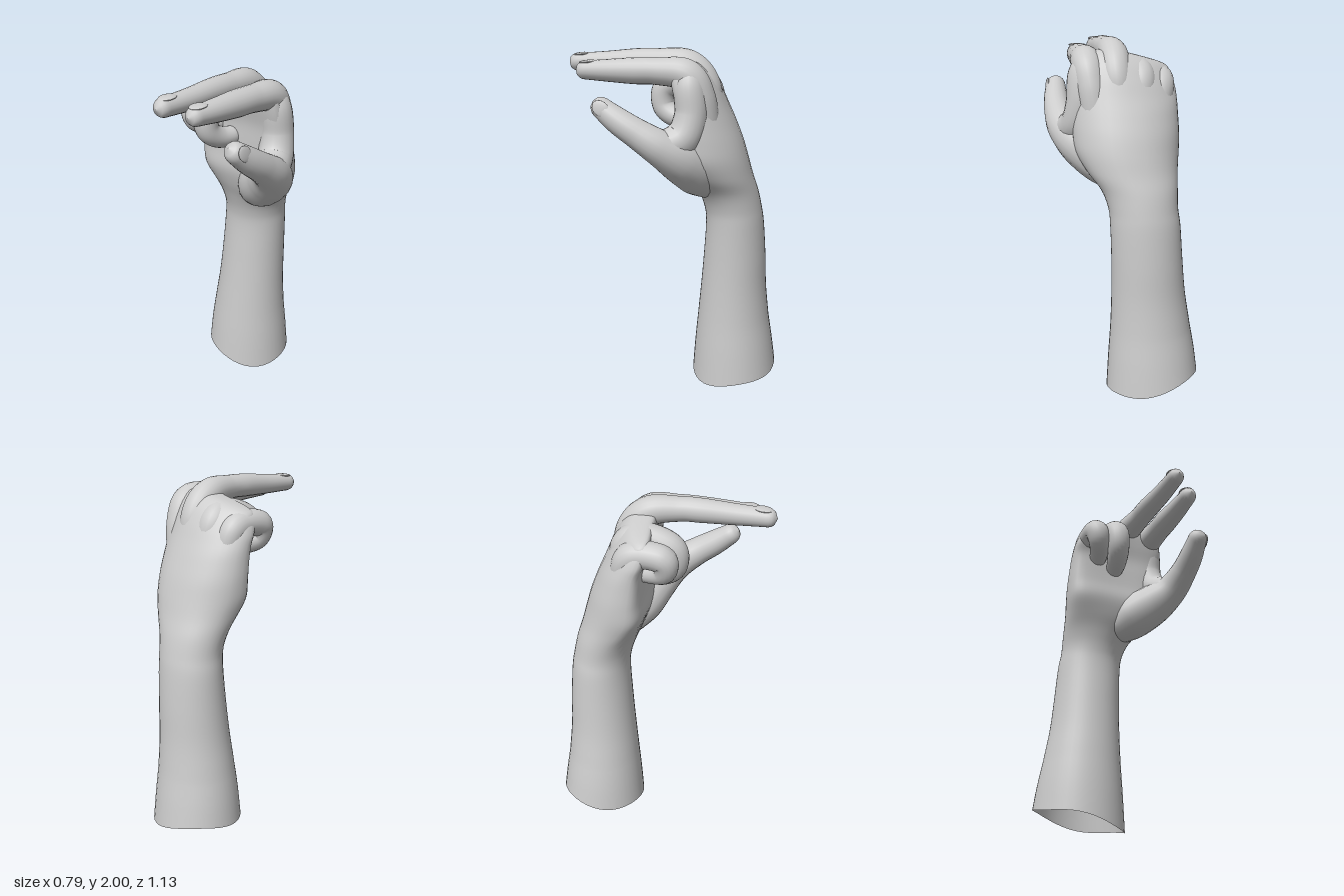
import * as THREE from 'three';

const skin = new THREE.MeshStandardMaterial({ color: 0xcccccc, side: THREE.DoubleSide });
const V = (x, y, z) => new THREE.Vector3(x, y, z);
const H = Math.SQRT1_2;
const FINGER_DIR = V(-H, 0, H); // the way the straight fingers point
const KNUCKLE_DIR = V(H, 0, H); // across the knuckles, towards the thumb

// Skin over a stack of closed rings with shared vertices, so it shades smoothly
function loft(rings) {
  const n = rings[0].length;
  const index = [];
  for (let i = 0; i < rings.length - 1; i++) {
    for (let j = 0; j < n; j++) {
      const k = (j + 1) % n;
      const a = i * n + j, b = i * n + k, c = a + n, d = b + n;
      index.push(a, b, c, b, d, c);
    }
  }
  const g = new THREE.BufferGeometry().setFromPoints(rings.flat());
  g.setIndex(index);
  g.computeVertexNormals();
  return g;
}

function addMesh(group, name, geometry) {
  const mesh = new THREE.Mesh(geometry, skin);
  mesh.name = name;
  group.add(mesh);
  return mesh;
}

// Smooth interpolation through a list of rows of numbers
function sampleRows(rows, t) {
  const f = t * (rows.length - 1);
  const i = Math.min(Math.floor(f), rows.length - 2), w = f - i;
  const at = (k) => rows[Math.max(0, Math.min(rows.length - 1, k))];
  return rows[0].map((_, c) => {
    const p0 = at(i - 1)[c], p1 = at(i)[c], p2 = at(i + 1)[c], p3 = at(i + 2)[c];
    return p1 + 0.5 * w * (p2 - p0 + w * (2 * p0 - 5 * p1 + 4 * p2 - p3 + w * (3 * (p1 - p2) + p3 - p0)));
  });
}

// Forearm, wrist and palm: y, centre x, centre z, radius across the knuckles, radius through the palm
function armGeometry() {
  const rows = [
    [0.0, 0.127, -0.307, 0.265, 0.255],
    [0.2, 0.127, -0.302, 0.25, 0.238],
    [0.4, 0.129, -0.295, 0.23, 0.217],
    [0.6, 0.138, -0.286, 0.21, 0.197],
    [0.8, 0.148, -0.282, 0.2, 0.184],
    [1.0, 0.155, -0.274, 0.195, 0.17],
    [1.1, 0.154, -0.258, 0.193, 0.167],
    [1.2, 0.146, -0.228, 0.212, 0.172],
    [1.3, 0.143, -0.18, 0.255, 0.178],
    [1.4, 0.138, -0.148, 0.29, 0.178],
    [1.5, 0.132, -0.136, 0.298, 0.16],
    [1.6, 0.12, -0.12, 0.298, 0.14],
    [1.7, 0.105, -0.103, 0.297, 0.12],
    [1.8, 0.083, -0.081, 0.292, 0.11],
    [1.88, 0.063, -0.06, 0.272, 0.094],
    [1.93, 0.048, -0.042, 0.23, 0.06],
    [1.94, 0.045, -0.04, 0.001, 0.001],
  ];
  const rings = [];
  const steps = 80, sides = 40;
  for (let i = 0; i <= steps; i++) {
    const [y, cx, cz, ru, rd] = sampleRows(rows, i / steps);
    const rim = Math.max(0, 1 - y / 0.4); // uneven cut at the elbow end
    const hand = THREE.MathUtils.smoothstep(y, 1.12, 1.4);
    const drop = THREE.MathUtils.smoothstep(y, 1.6, 1.9); // knuckles fall towards the little finger
    const e = 1 - 0.16 * hand;
    const ring = [];
    for (let j = 0; j < sides; j++) {
      const a = (-j / sides) * Math.PI * 2;
      const c = Math.cos(a), s = Math.sin(a);
      const u = ru * Math.sign(c) * Math.abs(c) ** e;
      const arch = 0.75 * hand * u * u; // the palm cups forward at both edges
      const d = arch - rd * Math.sign(s) * Math.abs(s) ** e;
      const p = V(cx, y, cz).addScaledVector(KNUCKLE_DIR, u).addScaledVector(FINGER_DIR, d);
      const t = (p.z + 0.305) / 0.25;
      p.y += rim * (0.065 - 0.015 * t - 0.045 * t ** 3 - 0.06 * (p.x - 0.125));
      p.y += drop * Math.min(0, u - 0.05) * 0.25;
      ring.push(p);
    }
    rings.push(ring);
  }
  return loft(rings);
}

// Finger: tube through rows of x, y, z, radius with rounded ends
function fingerGeometry(rows) {
  const curve = new THREE.CatmullRomCurve3(rows.map((r) => V(r[0], r[1], r[2])), false, 'catmullrom', 0.5);
  const steps = 72, sides = 20;
  const frames = curve.computeFrenetFrames(steps, false);
  const length = curve.getLength();
  const rings = [];
  for (let i = 0; i <= steps; i++) {
    const s = i / steps;
    const centre = curve.getPointAt(s);
    const r = sampleRows(rows, curve.getUtoTmapping(s))[3];
    const edge = Math.min(1, (Math.min(s, 1 - s) * length) / r);
    const radius = r * Math.sqrt(1 - (1 - edge) ** 2) + 0.0005;
    const ring = [];
    for (let j = 0; j < sides; j++) {
      const a = (j / sides) * Math.PI * 2;
      ring.push(centre.clone()
        .addScaledVector(frames.normals[i], Math.cos(a) * radius)
        .addScaledVector(frames.binormals[i], Math.sin(a) * radius));
    }
    rings.push(ring);
  }
  return loft(rings);
}

// Fingernail: thin rounded plate lying along dir with its face towards up
function addNail(group, name, position, dir, up, width, length) {
  const nail = addMesh(group, name, new THREE.SphereGeometry(1, 20, 12));
  const z = dir.clone().normalize();
  const x = new THREE.Vector3().crossVectors(up, z).normalize();
  const y = new THREE.Vector3().crossVectors(z, x);
  nail.quaternion.setFromRotationMatrix(new THREE.Matrix4().makeBasis(x, y, z));
  nail.position.copy(position);
  nail.scale.set(width, 0.01, length);
}

export function createModel() {
  const group = new THREE.Group();
  group.name = 'handAndForearm';
  addMesh(group, 'forearmAndPalm', armGeometry());

  // Each path begins inside the back of the hand and passes over its knuckle
  const fingers = {
    indexFinger: [
      [0.235, 1.55, -0.01, 0.08], [0.232, 1.75, 0.035, 0.085], [0.195, 1.865, 0.095, 0.085],
      [0.09, 1.885, 0.21, 0.072], [0.0, 1.885, 0.3, 0.07], [-0.1, 1.885, 0.405, 0.06], [-0.235, 1.885, 0.535, 0.047],
    ],
    middleFinger: [
      [0.15, 1.6, -0.1, 0.07], [0.14, 1.8, -0.068, 0.082], [0.075, 1.912, 0.005, 0.08],
      [-0.03, 1.933, 0.135, 0.066], [-0.11, 1.933, 0.22, 0.064], [-0.23, 1.925, 0.35, 0.056], [-0.385, 1.92, 0.505, 0.047],
    ],
    ringFinger: [
      [0.07, 1.58, -0.18, 0.07], [0.035, 1.775, -0.155, 0.082], [-0.03, 1.825, -0.08, 0.077],
      [-0.135, 1.775, 0.02, 0.074], [-0.14, 1.67, 0.035, 0.066], [-0.07, 1.61, -0.005, 0.06], [0.04, 1.61, -0.07, 0.05],
    ],
    littleFinger: [
      [-0.02, 1.55, -0.235, 0.06], [-0.065, 1.735, -0.215, 0.076], [-0.125, 1.78, -0.165, 0.073],
      [-0.208, 1.765, -0.085, 0.072], [-0.2, 1.69, -0.07, 0.062], [-0.12, 1.66, -0.105, 0.055], [-0.03, 1.66, -0.16, 0.05],
    ],
    thumb: [
      [0.12, 1.2, -0.17, 0.08], [0.165, 1.325, -0.01, 0.135], [0.2, 1.42, 0.14, 0.127], [0.19, 1.495, 0.265, 0.098],
      [0.13, 1.57, 0.365, 0.08], [0.055, 1.64, 0.445, 0.07], [-0.045, 1.735, 0.53, 0.052],
    ],
  };
  for (const [name, rows] of Object.entries(fingers)) addMesh(group, name, fingerGeometry(rows));

  // Web of flesh between thumb and index finger
  addMesh(group, 'thumbWeb', fingerGeometry([
    [0.2, 1.91, 0.08, 0.06], [0.225, 1.8, 0.095, 0.085], [0.238, 1.66, 0.093, 0.09],
    [0.225, 1.54, 0.135, 0.098], [0.19, 1.495, 0.235, 0.09], [0.16, 1.51, 0.32, 0.06],
  ]));

  addNail(group, 'indexNail', V(-0.185, 1.93, 0.487), V(-0.7, -0.08, 0.7), V(0, 1, 0), 0.042, 0.05);
  addNail(group, 'middleNail', V(-0.33, 1.965, 0.452), V(-0.7, -0.08, 0.7), V(0, 1, 0), 0.042, 0.05);
  addNail(group, 'thumbNail', V(0.037, 1.702, 0.528), V(-0.62, 0.56, 0.53), V(0.6, 0.25, 0.75), 0.04, 0.05);
  return group;
}
